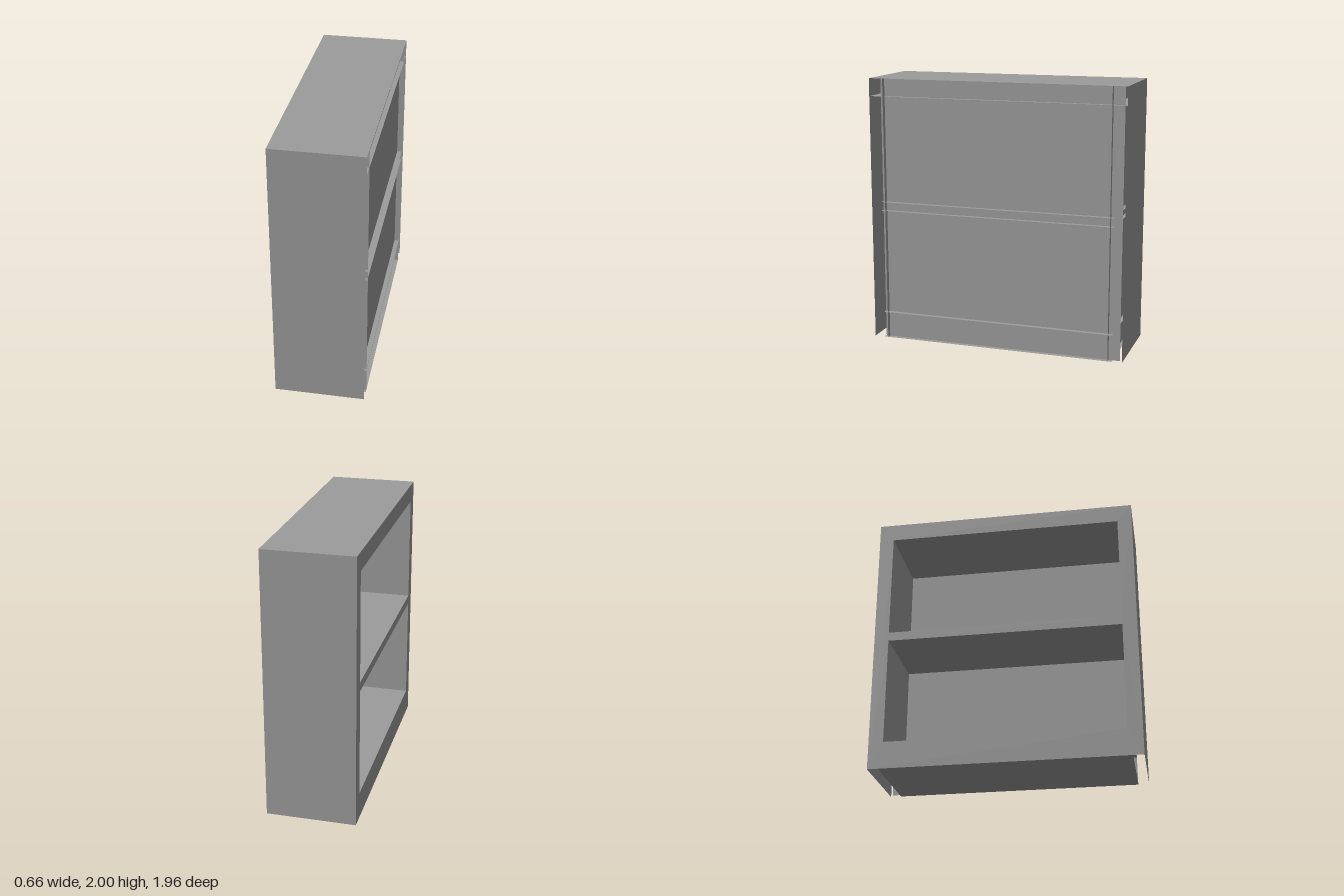
import * as THREE from 'three';

const W = 0.33;    // half depth along x, the openings face -x
const L = 0.978;   // half length along z
const H = 2;

export function createModel() {
  const group = new THREE.Group();
  const grey = new THREE.MeshStandardMaterial({ color: 0x9c9c9c, side: THREE.DoubleSide });
  grey.name = 'grey';

  const add = (name, geometry) => {
    const mesh = new THREE.Mesh(geometry, grey);
    mesh.name = name;
    group.add(mesh);
    return mesh;
  };

  // Thin sheets, each facing one axis
  const level = (name, y, halfZ) =>
    add(name, new THREE.PlaneGeometry(2 * W, 2 * halfZ).rotateX(-Math.PI / 2).translate(0, y, 0));
  const upright = (name, z) =>
    add(name, new THREE.PlaneGeometry(2 * W, H).translate(0, H / 2, z));

  // Outer shell
  level('top', H, L);
  level('base', 0, 0.9);
  for (const s of [-1, 1]) {
    upright('outerSide', s * L);
    upright('innerSide', s * 0.87);
  }

  // Ceilings and floors of the two compartments
  level('upperCeiling', 1.867, L);
  level('upperFloor', 1.067, 0.9);
  level('lowerCeiling', 1.0, 0.9);
  level('lowerFloor', 0.2, 0.9);

  // Face frame with two rectangular openings
  const rect = (target, z0, y0, z1, y1) => {
    target.moveTo(z0, y0);
    target.lineTo(z1, y0);
    target.lineTo(z1, y1);
    target.lineTo(z0, y1);
    target.closePath();
    return target;
  };
  const frame = rect(new THREE.Shape(), -L, 0, L, H);
  for (const [y0, y1] of [[0.2, 1.0], [1.067, 1.867]]) {
    frame.holes.push(rect(new THREE.Path(), -0.87, y0, 0.87, y1));
  }
  add('faceFrame', new THREE.ShapeGeometry(frame).rotateY(-Math.PI / 2).translate(-W, 0, 0));

  // Recessed rear panel, slightly off centre
  add('rearPanel', new THREE.PlaneGeometry(1.855, H).rotateY(Math.PI / 2).translate(0.295, H / 2, -0.0275));

  return group;
}
